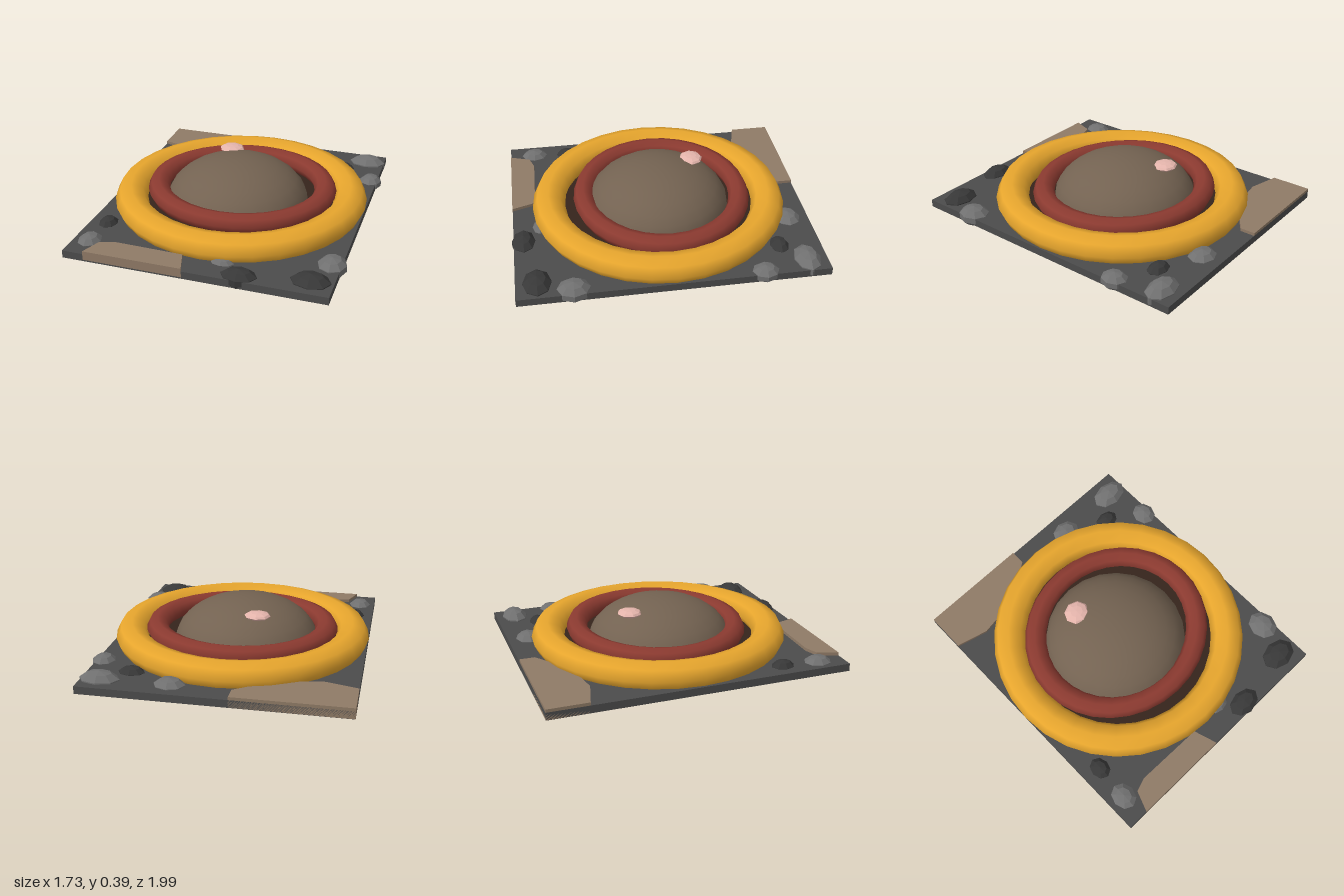
import * as THREE from 'three';

const mat = (color, flatShading = false) => new THREE.MeshStandardMaterial({ color, flatShading });

export function createModel() {
  const model = new THREE.Group();
  const add = (name, geometry, material, x = 0, y = 0, z = 0) => {
    const mesh = new THREE.Mesh(geometry, material);
    mesh.name = name;
    mesh.position.set(x, y, z);
    model.add(mesh);
    return mesh;
  };

  // Square ground plate
  add('groundPlate', new THREE.BoxGeometry(1.69, 0.05, 1.975), mat(0x4c4c4c, true), -0.015, 0.065, -0.0125);

  // Raised patches with irregular outlines, given as [x, z]
  const patch = (name, outline, top, depth) => {
    const shape = new THREE.Shape(outline.map(([x, z]) => new THREE.Vector2(x, z)));
    const geometry = new THREE.ExtrudeGeometry(shape, { depth, bevelEnabled: false });
    geometry.rotateX(Math.PI / 2);
    add(name, geometry, mat(0x8f7a66, true), 0, top, 0);
  };
  patch('backPatch', [[-0.86, -1], [-0.12, -1], [-0.12, -0.9], [-0.22, -0.83], [-0.52, -0.7],
    [-0.65, -0.68], [-0.86, -0.735]], 0.11, 0.069);
  patch('frontPatch', [[-0.72, 0.976], [-0.67, 0.84], [-0.58, 0.81], [-0.12, 0.82], [-0.07, 0.976]], 0.11, 0.06);

  // Dark floor inside the rings
  add('innerFloor', new THREE.CylinderGeometry(0.68, 0.68, 0.055, 32), mat(0x35241b), -0.013, 0.0725, -0.02);

  // Flattened rings lying on the plate
  const ring = (name, radius, tube, height, depthScale, color, x, y, z) => {
    const geometry = new THREE.TorusGeometry(radius, tube, 8, 32);
    geometry.rotateX(Math.PI / 2);
    geometry.scale(1, height / tube, depthScale);
    add(name, geometry, mat(color), x, y, z);
  };
  ring('outerRing', 0.747, 0.11, 0.093, 1, 0xe6a52d, -0.013, 0.142, -0.02);
  ring('innerRing', 0.573, 0.075, 0.065, 0.923, 0x8b3a30, -0.013, 0.185, -0.04);

  // Central dome
  const dome = new THREE.SphereGeometry(1, 24, 8, 0, Math.PI * 2, 0, Math.PI / 2);
  dome.scale(0.485, 0.3, 0.485);
  add('dome', dome, mat(0x736251), -0.04, 0.09, -0.02);

  // Small blob on the dome
  const blob = new THREE.SphereGeometry(1, 8, 6);
  blob.scale(0.086, 0.024, 0.08);
  add('blob', blob, mat(0xe5b5ac, true), -0.16, 0.348, -0.27);

  // Flattened rocks around the edge: x, z, half width, half depth, half height, dark
  const light = mat(0x707070, true);
  const dark = mat(0x383838, true);
  const rocks = [
    [0.27, -0.86, 0.105, 0.09, 0.06, 0], [0.71, -0.87, 0.135, 0.09, 0.073, 0],
    [0.785, -0.58, 0.08, 0.09, 0.055, 0], [0.77, 0.62, 0.095, 0.11, 0.065, 0],
    [-0.755, 0.8, 0.08, 0.095, 0.055, 0], [0.13, 0.8, 0.08, 0.05, 0.045, 0],
    [0.55, -0.73, 0.09, 0.065, 0.055, 1], [-0.74, 0.56, 0.065, 0.08, 0.055, 1],
    [0.27, 0.91, 0.12, 0.08, 0.062, 1], [0.69, 0.84, 0.13, 0.095, 0.068, 1],
  ];
  rocks.forEach(([x, z, w, d, h, isDark], i) => {
    const rock = add(`rock${i + 1}`, new THREE.SphereGeometry(1, 8, 5), isDark ? dark : light, x, 0.075, z);
    rock.scale.set(w, h, d);
  });

  return model;
}
